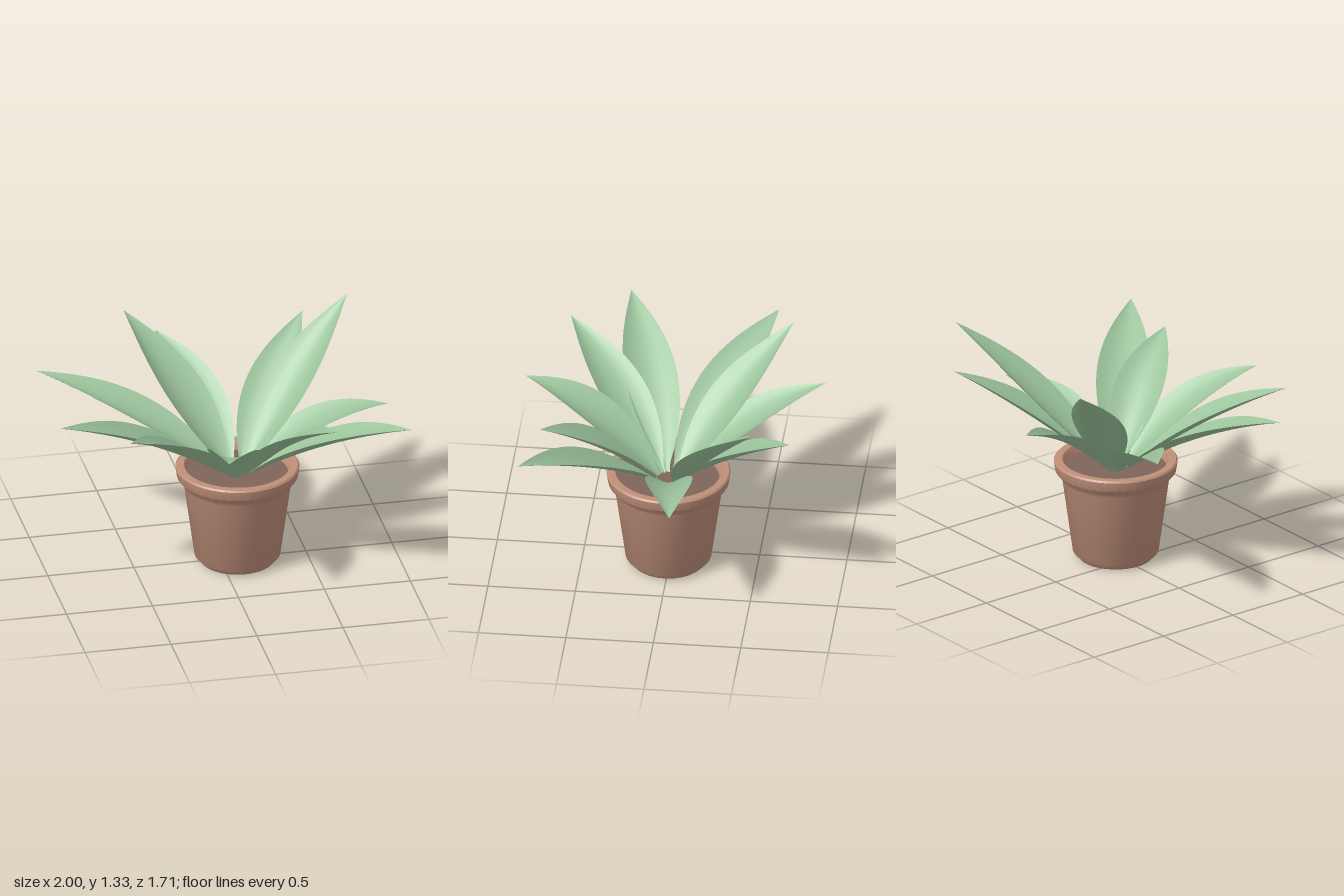
import * as THREE from 'three';
import { toCreasedNormals } from 'three/addons/utils/BufferGeometryUtils.js';

const CX = 0.1, CZ = 0.01; // pot axis
const potMaterial = new THREE.MeshStandardMaterial({ color: 0xc0907a });
const soilMaterial = new THREE.MeshStandardMaterial({ color: 0x80655a });
const leafMaterial = new THREE.MeshStandardMaterial({ color: 0x9cc49c, side: THREE.DoubleSide });

// Pointed, trough-shaped blade along an arched spine from the pot centre to the tip.
function leafGeometry(tip, arch, halfWidth) {
  const rows = 24, cols = 8;
  const out = new THREE.Vector3(tip.x - CX, 0, tip.z - CZ).normalize();
  const base = new THREE.Vector3(CX, 0.54, CZ).addScaledVector(out, 0.06);
  const control = base.clone().lerp(tip, 0.5);
  control.y += arch * 2;
  const spine = new THREE.QuadraticBezierCurve3(base, control, tip);
  const side = new THREE.Vector3(-out.z, 0, out.x);

  const positions = [], index = [];
  for (let i = 0; i <= rows; i++) {
    const t = i / rows;
    const centre = spine.getPoint(t);
    const normal = new THREE.Vector3().crossVectors(side, spine.getTangent(t));
    const w = halfWidth * Math.max(Math.sin(Math.PI * Math.pow(t, 0.88)), 0.12 * (1 - t));
    for (let j = 0; j <= cols; j++) {
      const v = (j / cols) * 2 - 1;
      const p = centre.clone()
        .addScaledVector(side, v * w)
        .addScaledVector(normal, v * v * w * 0.35);
      positions.push(p.x, p.y, p.z);
      if (i < rows && j < cols) {
        const a = i * (cols + 1) + j, b = a + cols + 1;
        index.push(a, b, a + 1, b, b + 1, a + 1);
      }
    }
  }
  const geometry = new THREE.BufferGeometry();
  geometry.setAttribute('position', new THREE.Float32BufferAttribute(positions, 3));
  geometry.setIndex(index);
  geometry.computeVertexNormals();
  // Keep the upper face as the front
  if (geometry.attributes.normal.getY(Math.floor(rows / 2) * (cols + 1) + cols / 2) < 0) {
    geometry.setIndex(index.reverse());
    geometry.computeVertexNormals();
  }
  return geometry;
}

export function createModel() {
  const plant = new THREE.Group();
  plant.name = 'pottedPlant';

  // Pot: tapered wall, flared collar, rim and inner wall
  const profile = [
    [0, 0], [0.21, 0], [0.245, 0.04], [0.305, 0.48], [0.318, 0.505], [0.345, 0.535],
    [0.353, 0.59], [0.345, 0.6], [0.305, 0.6], [0.297, 0.59], [0.285, 0.52],
  ].map(([r, y]) => new THREE.Vector2(r, y));
  const pot = new THREE.Mesh(toCreasedNormals(new THREE.LatheGeometry(profile, 40), 0.6), potMaterial);
  pot.name = 'pot';
  pot.position.set(CX, 0, CZ);
  plant.add(pot);

  // Soil
  const soil = new THREE.Mesh(new THREE.CircleGeometry(0.292, 40), soilMaterial);
  soil.name = 'soil';
  soil.rotation.x = -Math.PI / 2;
  soil.position.set(CX, 0.545, CZ);
  plant.add(soil);

  // Leaves: tip x, y, z, arch of the spine, half width
  const leaves = new THREE.Group();
  leaves.name = 'leaves';
  [
    [-0.19, 1.06, -0.86, 0.06, 0.145],
    [-0.42, 1.31, -0.65, 0.02, 0.15],
    [-0.96, 1.05, -0.51, 0.06, 0.145],
    [-1.0, 1.1, 0.34, 0.06, 0.15],
    [-0.66, 1.12, 0.65, 0.05, 0.145],
    [-0.13, 1.03, 0.85, 0.08, 0.15],
    [0.53, 1.09, 0.7, 0.06, 0.145],
    [0.95, 1.1, 0.78, 0.06, 0.15],
    [1.0, 0.84, -0.09, 0.09, 0.135],
    [0.86, 1.33, -0.55, 0.02, 0.15],
    [0.64, 1.15, -0.74, 0.04, 0.14],
  ].forEach(([x, y, z, arch, halfWidth], i) => {
    const leaf = new THREE.Mesh(leafGeometry(new THREE.Vector3(x, y, z), arch, halfWidth), leafMaterial);
    leaf.name = `leaf${i + 1}`;
    leaves.add(leaf);
  });
  plant.add(leaves);

  return plant;
}
